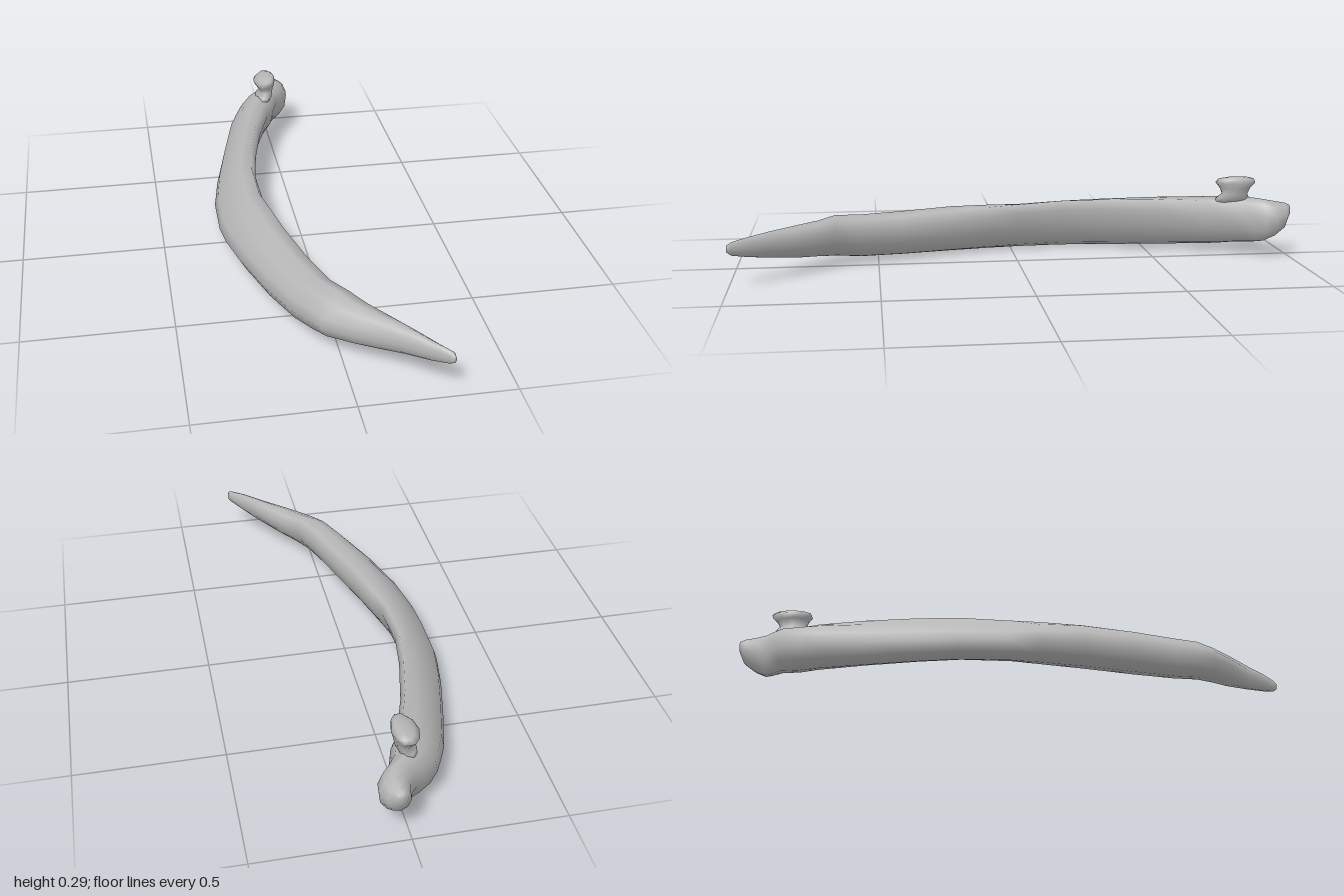
import * as THREE from 'three';

const bone = new THREE.MeshStandardMaterial({ color: 0xb6b6b6 });
bone.name = 'bone grey';

// Skin a list of closed rings and close both ends
function loft(rings, name) {
  const n = rings[0].length, pos = [], index = [];
  rings.forEach(r => r.forEach(p => pos.push(...p)));
  for (let i = 0; i < rings.length - 1; i++) {
    for (let j = 0; j < n; j++) {
      const k = (j + 1) % n;
      const a = i * n + j, b = i * n + k, c = b + n, d = a + n;
      index.push(a, b, c, a, c, d);
    }
  }
  [0, rings.length - 1].forEach(i => {
    const centre = [0, 1, 2].map(q => rings[i].reduce((s, p) => s + p[q], 0) / n);
    const m = pos.length / 3;
    pos.push(...centre);
    for (let j = 0; j < n; j++) {
      const a = i * n + j, b = i * n + (j + 1) % n;
      if (i === 0) index.push(m, b, a);
      else index.push(m, a, b);
    }
  });
  const g = new THREE.BufferGeometry();
  g.setAttribute('position', new THREE.Float32BufferAttribute(pos, 3));
  g.setIndex(index);
  g.computeVertexNormals();
  const mesh = new THREE.Mesh(g, bone);
  mesh.name = name;
  return mesh;
}

// Leaning blade-like section in a unit box; blended with an oval elsewhere
const blade = [[0, 0.25], [0.12, 0.07], [0.35, 0], [0.63, 0.1], [0.86, 0.48],
  [1, 0.83], [0.92, 1], [0.66, 0.95], [0.35, 0.7], [0.08, 0.44]];

function section([z, x0, x1, y0, y1, lean]) {
  return blade.map(([u, v], j) => {
    const t = THREE.MathUtils.degToRad(190 + 36 * j);
    const ou = 0.5 + 0.5 * Math.cos(t), ov = 0.5 + 0.5 * Math.sin(t);
    return [
      THREE.MathUtils.lerp(x0, x1, THREE.MathUtils.lerp(ou, u, lean)),
      THREE.MathUtils.lerp(y0, y1, THREE.MathUtils.lerp(ov, v, lean)), z];
  });
}

export function createModel() {
  const group = new THREE.Group();
  group.name = 'ribBone';

  // Curved shaft from head (back) to tip (front): z, x range, y range, lean
  const stations = [
    [-1, 0.015, 0.05, 0.15, 0.19, 0],
    [-0.98, 0, 0.075, 0.105, 0.2, 0],
    [-0.94, -0.012, 0.093, 0.075, 0.208, 0],
    [-0.9, -0.037, 0.088, 0.052, 0.215, 0.1],
    [-0.87, -0.075, 0.062, 0.042, 0.217, 0.2],
    [-0.83, -0.122, 0.036, 0.036, 0.217, 0.3],
    [-0.76, -0.155, 0.014, 0.026, 0.216, 0.4],
    [-0.7, -0.18, -0.02, 0.02, 0.213, 0.5],
    [-0.53, -0.225, -0.075, 0.011, 0.207, 0.7],
    [-0.34, -0.27, -0.118, 0.005, 0.198, 0.85],
    [-0.19, -0.295, -0.14, 0.002, 0.19, 0.95],
    [-0.02, -0.297, -0.135, 0, 0.181, 0.9],
    [0.08, -0.287, -0.11, 0.001, 0.183, 0.72],
    [0.23, -0.255, -0.077, 0.003, 0.184, 0.52],
    [0.41, -0.2, -0.028, 0.007, 0.179, 0.4],
    [0.56, -0.14, 0.018, 0.015, 0.18, 0.4],
    [0.65, -0.097, 0.062, 0.03, 0.189, 0.45],
    [0.71, -0.063, 0.108, 0.04, 0.178, 0.4],
    [0.78, 0.02, 0.158, 0.053, 0.175, 0.3],
    [0.87, 0.143, 0.216, 0.077, 0.171, 0.15],
    [0.94, 0.215, 0.265, 0.096, 0.164, 0],
    [0.985, 0.268, 0.297, 0.112, 0.158, 0],
    [1, 0.284, 0.295, 0.125, 0.148, 0],
  ];
  group.add(loft(stations.map(section), 'shaft'));

  // Flared knob on top near the head: y, centre x, centre z, radius x, radius z
  const knob = [
    [0.19, -0.032, -0.8, 0.03, 0.066],
    [0.212, -0.02, -0.802, 0.032, 0.062],
    [0.228, -0.011, -0.806, 0.026, 0.048],
    [0.25, -0.016, -0.808, 0.036, 0.058],
    [0.268, -0.018, -0.81, 0.044, 0.075],
    [0.283, -0.01, -0.81, 0.034, 0.068],
    [0.29, -0.002, -0.81, 0.018, 0.042],
  ].map(([y, cx, cz, rx, rz]) => Array.from({ length: 10 }, (_, j) => {
    const t = j / 10 * Math.PI * 2;
    return [cx + rx * Math.cos(t), y, cz - rz * Math.sin(t)];
  }));
  group.add(loft(knob, 'knob'));
  return group;
}
